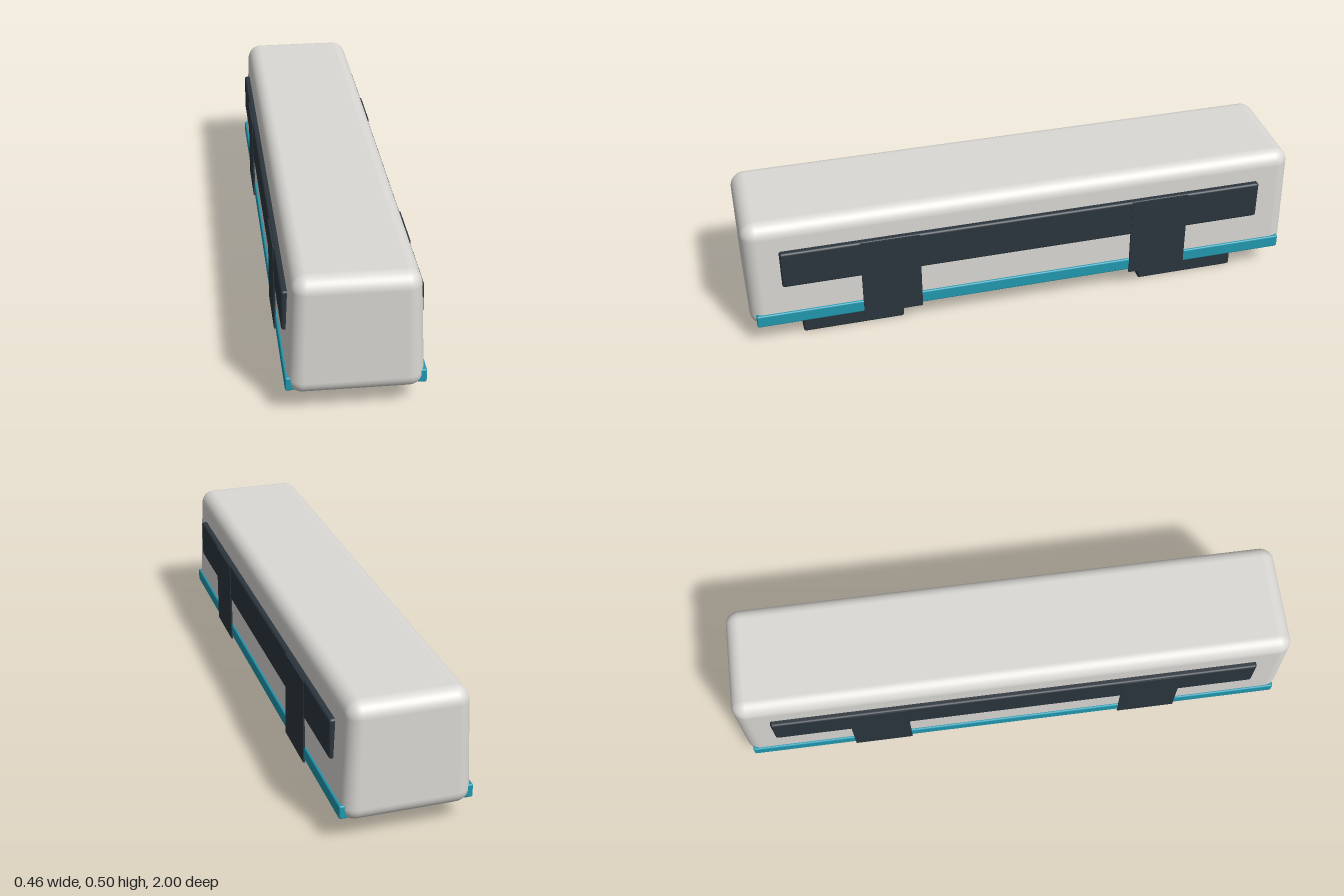
import * as THREE from 'three';
import { RoundedBoxGeometry } from 'three/addons/geometries/RoundedBoxGeometry.js';

export function createModel() {
  const model = new THREE.Group();
  model.name = 'railCar';

  const mat = (name, color) => {
    const m = new THREE.MeshStandardMaterial({ color });
    m.name = name;
    return m;
  };
  const shell = mat('warmLightGrey', 0xdad9d5);
  const dark = mat('darkSlate', 0x2c363e);
  const teal = mat('teal', 0x2199b0);

  const add = (name, geometry, material, x, y, z) => {
    const mesh = new THREE.Mesh(geometry, material);
    mesh.name = name;
    mesh.position.set(x, y, z);
    model.add(mesh);
    return mesh;
  };

  // Body: rounded box whose sides lean inward towards the roof
  const bodyGeo = new RoundedBoxGeometry(0.44, 0.422, 2, 6, 0.052);
  const pos = bodyGeo.attributes.position;
  for (let i = 0; i < pos.count; i++) {
    const t = (pos.getY(i) + 0.211) / 0.422;
    pos.setX(i, pos.getX(i) * (1.005 - 0.085 * t));
  }
  add('body', bodyGeo, shell, 0, 0.29, 0);

  // Window bands, lower stripes and doors on both sides
  const bandGeo = new RoundedBoxGeometry(0.03, 0.143, 1.755, 3, 0.009);
  const stripeGeo = new RoundedBoxGeometry(0.03, 0.048, 1.96, 3, 0.006);
  const doorGeo = new THREE.BoxGeometry(0.006, 0.31, 0.212);
  for (const [side, s] of [['left', 1], ['right', -1]]) {
    add(side + 'WindowBand', bandGeo, dark, s * 0.212, 0.326, 0);
    add(side + 'Stripe', stripeGeo, teal, s * 0.211, 0.119, 0);
    for (const [end, e] of [['Front', 1], ['Rear', -1]]) {
      add(side + end + 'Door', doorGeo, dark, s * 0.2265, 0.24, e * 0.495);
    }
  }

  // Running gear under each end
  const bogieGeo = new RoundedBoxGeometry(0.34, 0.077, 0.368, 3, 0.009);
  add('frontBogie', bogieGeo, dark, 0, 0.0385, 0.633);
  add('rearBogie', bogieGeo, dark, 0, 0.0385, -0.633);

  return model;
}
